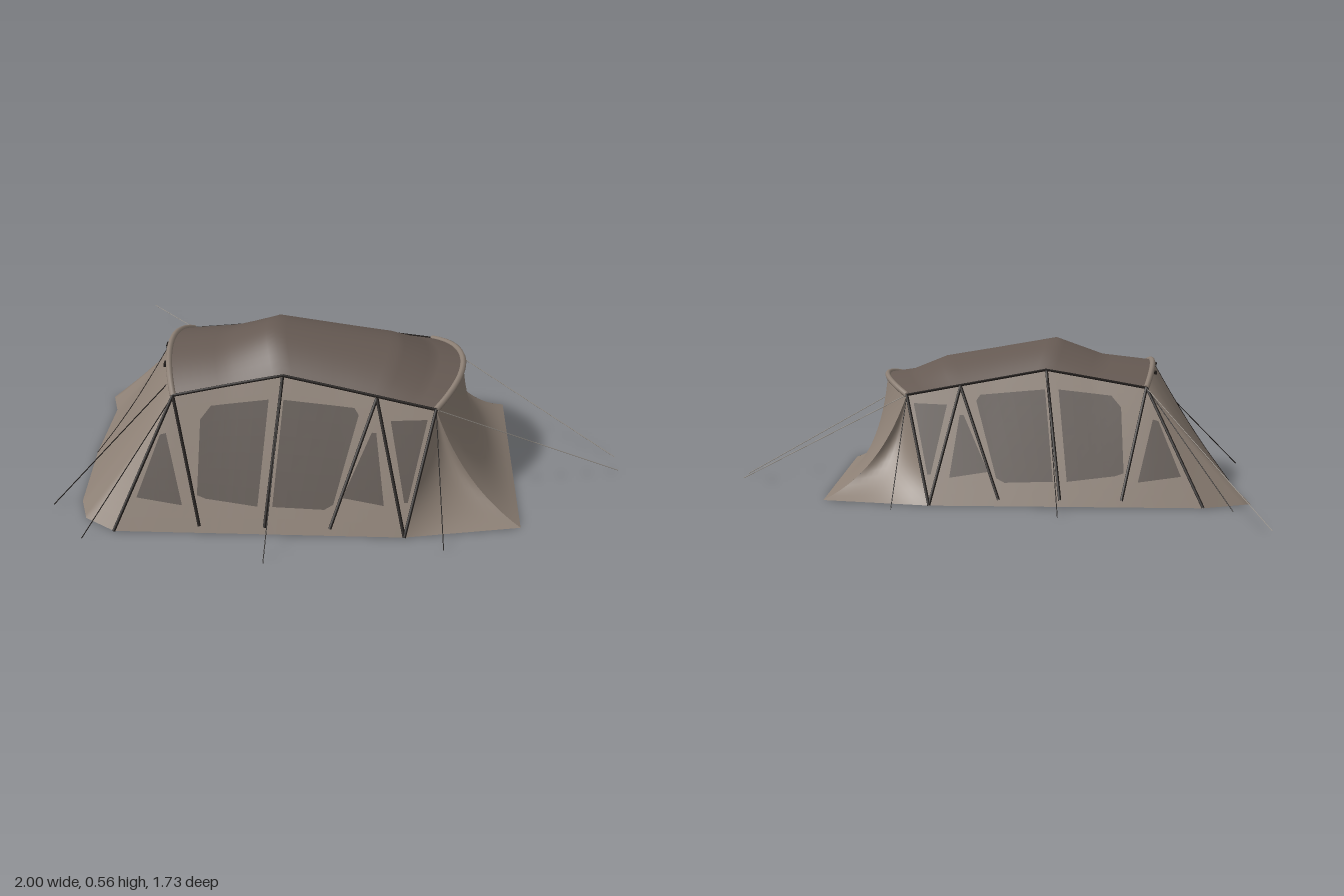
import * as THREE from 'three';

const CZ = 0.225; // centre line of the tent body
const mat = (name, color) => new THREE.MeshStandardMaterial({ name, color, side: THREE.DoubleSide });
const V = (x, y, z) => new THREE.Vector3(x, y, z);

// Point at u (0..1) along a list of equally weighted points
function along(points, u) {
  const f = Math.min(Math.max(u, 0), 1) * (points.length - 1);
  const i = Math.min(Math.floor(f), points.length - 2);
  return points[i].map((a, k) => a + (points[i + 1][k] - a) * (f - i));
}

// Fabric sheet from a rule f(u, v) -> Vector3
function sheet(f, nu, nv) {
  const pos = [], idx = [];
  for (let j = 0; j <= nv; j++)
    for (let i = 0; i <= nu; i++) pos.push(...f(i / nu, j / nv).toArray());
  for (let j = 0; j < nv; j++)
    for (let i = 0; i < nu; i++) {
      const a = j * (nu + 1) + i, b = a + nu + 1;
      idx.push(a, a + 1, b, a + 1, b + 1, b);
    }
  const g = new THREE.BufferGeometry();
  g.setAttribute('position', new THREE.Float32BufferAttribute(pos, 3));
  g.setIndex(idx);
  g.computeVertexNormals();
  return g;
}

// Roof stations: eave x, eave y, half width, ridge x, ridge y
const ROOF = [
  [-0.57, 0.40, 0.25, -0.61, 0.475], [-0.385, 0.43, 0.225, -0.42, 0.497],
  [-0.2, 0.46, 0.206, -0.24, 0.562], [0, 0.425, 0.225, 0, 0.52],
  [0.13, 0.403, 0.24, 0.19, 0.488], [0.25, 0.382, 0.253, 0.32, 0.435],
  [0.32, 0.37, 0.26, 0.42, 0.42],
];
const arch = ([ex, ey, hw, rx, ry], v) => {
  const k = 1 - v * v;
  return V(ex + (rx - ex) * k, ey + (ry - ey) * k, CZ + hw * v);
};
const BACK = ROOF[0], FRONT = ROOF[ROOF.length - 1];

// Eave height and half width at a given x
function eaveAt(x) {
  let i = 0;
  while (i < ROOF.length - 2 && x > ROOF[i + 1][0]) i++;
  const a = ROOF[i], b = ROOF[i + 1];
  const t = THREE.MathUtils.clamp((x - a[0]) / (b[0] - a[0]), 0, 1);
  return [a[1] + (b[1] - a[1]) * t, a[2] + (b[2] - a[2]) * t];
}
function onWall(x, y, side, out = 0) {
  const [h, w] = eaveAt(x);
  return V(x, y + out * 0.5, CZ + side * (0.48 + (w - 0.48) * y / h + out));
}

export function createModel() {
  const wallMat = mat('wall fabric', 0x8c7f74);
  const roofMat = mat('roof fabric', 0x665a53);
  const meshMat = mat('window mesh', 0x5b524c);
  const darkMat = mat('dark trim', 0x211d1b);
  const ropeMat = mat('pale rope', 0xa39d95);
  const model = new THREE.Group();
  model.name = 'tent';

  const add = (name, geo, material, parent = model) => {
    const m = new THREE.Mesh(geo, material);
    m.name = name;
    parent.add(m);
    return m;
  };
  const tube = (name, pts, r, material, parent = model, sides = 6) => {
    const path = new THREE.CurvePath();
    for (let i = 1; i < pts.length; i++) path.add(new THREE.LineCurve3(pts[i - 1], pts[i]));
    return add(name, new THREE.TubeGeometry(path, Math.max(1, (pts.length - 1) * 2), r, sides), material, parent);
  };

  // Roof and its two end hoops
  add('roof', sheet((u, v) => arch(along(ROOF, u), v * 2 - 1), 36, 20), roofMat);
  for (const [name, st] of [['rearHoop', BACK], ['frontHoop', FRONT]]) {
    const pts = Array.from({ length: 17 }, (_, i) => arch(st, i / 8 - 1));
    tube(name, pts, 0.011, wallMat, model, 8);
  }

  // Flared porch sheet, curving from the hoop to the ground
  const porch = (t, v) => {
    const k = 1 - v * v, a = arch(FRONT, v);
    const b = V(0.42 + 0.03 * k, 0.08 + 0.01 * k, CZ + 0.28 * v);
    const c = V(0.615, 0, CZ + 0.41 * v);
    return new THREE.QuadraticBezierCurve3(a, b, c).getPoint(t);
  };
  add('porchSheet', sheet((u, v) => porch(u, v * 2 - 1), 16, 20), wallMat);

  // Sloped end sheet; ground line as x, z offset, hoop position
  const GROUND = [
    [-0.76, -0.48, -1], [-0.94, -0.41, -1], [-0.91, -0.31, -0.75], [-0.92, 0, 0],
    [-0.905, 0.31, 0.75], [-0.87, 0.41, 1], [-0.76, 0.48, 1],
  ];
  const slope = (t, u) => {
    const [x, z, v] = along(GROUND, u), a = arch(BACK, v);
    const p = a.lerp(V(x, 0, CZ + z), t);
    p.y -= 0.02 * Math.sin(Math.PI * t) * Math.sin(Math.PI * u);
    return p;
  };
  add('endSheet', sheet((u, v) => slope(u, v), 10, 36), wallMat);
  tube('endZip', [0, 0.25, 0.5, 0.75, 1].map((t) => slope(t, 0.5)), 0.002, darkMat);
  for (const v of [-0.5, 0, 0.45]) {
    const toggle = add('endToggle', new THREE.BoxGeometry(0.012, 0.012, 0.025), darkMat);
    toggle.position.copy(arch(BACK, v)).add(V(-0.012, -0.015, 0));
  }

  // Windows as lower and upper edges on the wall
  const WINDOWS = [
    [[[-0.685, 0.10], [-0.53, 0.08]], [[-0.61, 0.285], [-0.59, 0.29]]],
    [[[-0.48, 0.11], [-0.45, 0.10], [-0.275, 0.08]], [[-0.475, 0.33], [-0.44, 0.37], [-0.245, 0.39]]],
    [[[-0.225, 0.08], [-0.05, 0.075], [-0.02, 0.09]], [[-0.195, 0.39], [0.045, 0.37], [0.06, 0.35]]],
    [[[0.01, 0.11], [0.15, 0.09]], [[0.105, 0.30], [0.12, 0.30]]],
    [[[0.218, 0.10], [0.23, 0.10]], [[0.168, 0.335], [0.292, 0.34]]],
  ];
  const POLES = [
    [-0.57, 0.40, -0.76, 0], [-0.57, 0.40, -0.47, 0.02], [-0.2, 0.455, -0.25, 0.02],
    [0.12, 0.40, -0.03, 0.02], [0.12, 0.40, 0.22, 0], [0.32, 0.37, 0.22, 0],
  ];

  for (const side of [1, -1]) {
    const g = new THREE.Group();
    g.name = side > 0 ? 'frontSide' : 'backSide';
    model.add(g);

    // Leaning side wall
    add('sideWall', sheet((u, v) => {
      const [ex, ey] = along(ROOF, u), [bx] = along([[-0.76], [-0.5], [-0.24], [-0.07], [0.05], [0.15], [0.22]], u);
      return onWall(bx + (ex - bx) * v, ey * v, side);
    }, 36, 10), wallMat, g);

    for (const [low, high] of WINDOWS)
      add('window', sheet((u, v) => {
        const a = along(low, u), b = along(high, u);
        return onWall(a[0] + (b[0] - a[0]) * v, a[1] + (b[1] - a[1]) * v, side, 0.005);
      }, 8, 6), meshMat, g);

    // Poles and eave piping
    for (const [x1, y1, x2, y2] of POLES) {
      const pts = [0, 0.25, 0.5, 0.75, 1].map((t) => onWall(x1 + (x2 - x1) * t, y1 + (y2 - y1) * t, side, 0.004));
      tube('pole', pts, 0.0055, darkMat, g);
    }
    tube('eavePiping', ROOF.map((s) => arch(s, side)), 0.005, darkMat, g);

    // Porch side gusset, sagging inward
    add('porchGusset', sheet((u, v) => {
      const a = onWall(0.32 - 0.1 * v, 0.37 * (1 - v), side);
      const p = a.lerp(porch(v, side), u);
      p.z -= side * 0.045 * Math.sin(Math.PI * u) * Math.sin(Math.PI * v);
      return p;
    }, 12, 14), wallMat, g);

    // Guy lines on this side
    const line = (x1, y1, w1, x2, y2, w2, m) =>
      tube('guyLine', [V(x1, y1, CZ + side * w1), V(x2, y2, CZ + side * w2)], 0.0016, m, g, 4);
    line(-0.57, 0.40, 0.25, -0.86, 0, 0.525, darkMat);
    line(-0.2, 0.46, 0.206, -0.24, 0, 0.635, darkMat);
    line(0.32, 0.37, 0.26, 0.35, 0, 0.545, darkMat);
    line(0.32, 0.37, 0.26, 1, 0, 0.045, ropeMat);
  }

  // Single guy lines at the sloped end
  tube('endGuyLine', [V(-0.6, 0.41, 0.42), V(-1, 0, 0.56)], 0.0018, darkMat, model, 4);
  tube('longGuyLine', [V(-0.57, 0.4, -0.025), V(-0.89, 0.08, -0.865)], 0.0016, ropeMat, model, 4);
  return model;
}
